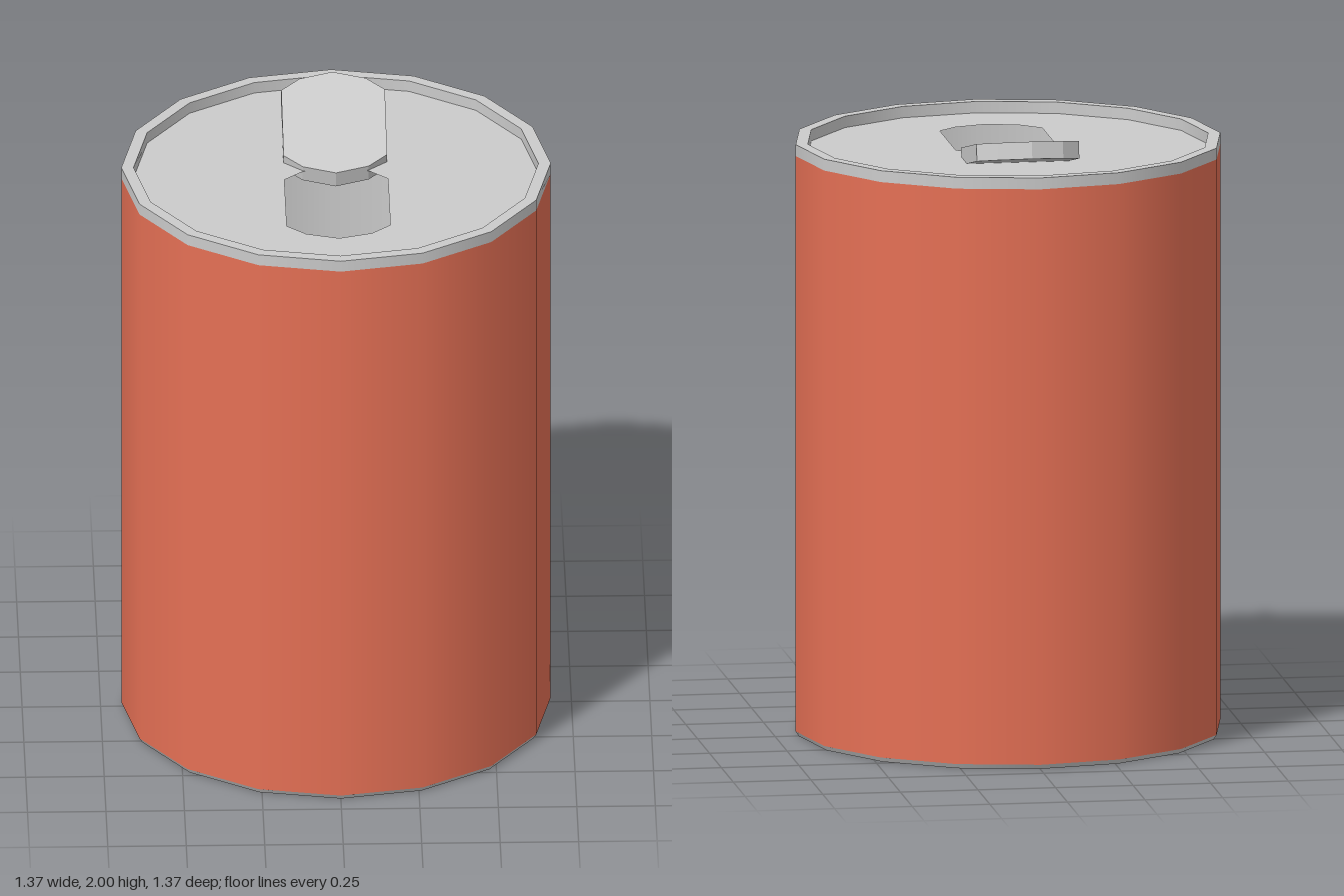
import * as THREE from 'three';
import { mergeGeometries } from 'three/addons/utils/BufferGeometryUtils.js';

const SIDES = 16;
const grey = new THREE.MeshStandardMaterial({ color: 0xcccccc });
const red = new THREE.MeshStandardMaterial({ color: 0xe57055 });

// Revolve a profile, one band per segment: smooth around, sharp between bands
function turned(name, material, profile) {
  const bands = profile.slice(1).map((p, i) =>
    new THREE.LatheGeometry([profile[i], p].map(([r, y]) => new THREE.Vector2(r, y)), SIDES));
  const mesh = new THREE.Mesh(mergeGeometries(bands), material);
  mesh.name = name;
  return mesh;
}

// Rounded slot outline shared by the opening and the pull tab
function slotPoints(centreY = 0) {
  const quarter = [[0.165, 0.165], [0.105, 0.222], [0, 0.255]];
  const right = [...quarter.map(([x, y]) => [x, -y]).reverse(), ...quarter];
  const left = right.slice(1, -1).reverse().map(([x, y]) => [-x, y]);
  return [...right, ...left].map(([x, y]) => new THREE.Vector2(x, y + centreY));
}

export function createModel() {
  const can = new THREE.Group();
  can.name = 'drinkCan';
  const R = 0.684, INNER = 0.645, TOP = 1.917, LID = 1.88, BASE = 0.015;

  // Painted wall, and the metal rims above and below it
  can.add(turned('body', red, [[R, BASE], [R, LID]]));
  can.add(turned('topRim', grey, [[R, LID], [R, TOP], [INNER, TOP], [INNER, LID]]));
  can.add(turned('base', grey, [[0, BASE], [0.638, BASE], [0.642, 0], [0.675, 0], [R, BASE]]));

  // Hollow inside, seen through the opening
  can.add(turned('interior', grey, [[INNER, LID], [INNER, 0.03], [0, 0.03]]));

  // Lid with the drinking opening
  const disc = new THREE.Shape(Array.from({ length: SIDES }, (_, i) => {
    const a = (i / SIDES) * Math.PI * 2;
    return new THREE.Vector2(Math.cos(a) * INNER, Math.sin(a) * INNER);
  }));
  disc.holes.push(new THREE.Path(slotPoints(-0.19)));
  const lidMaterial = grey.clone();
  lidMaterial.side = THREE.DoubleSide;
  const lid = new THREE.Mesh(new THREE.ShapeGeometry(disc).rotateX(-Math.PI / 2), lidMaterial);
  lid.name = 'lid';
  lid.position.y = LID;
  can.add(lid);

  // Pull tab, raised at the back
  const tabGeometry = new THREE.ExtrudeGeometry(new THREE.Shape(slotPoints()), { depth: 0.055, bevelEnabled: false });
  const tab = new THREE.Mesh(tabGeometry.rotateX(-Math.PI / 2), grey);
  tab.name = 'pullTab';
  tab.rotation.x = 0.22;
  tab.position.set(0, 1.891, -0.263);
  can.add(tab);

  return can;
}
